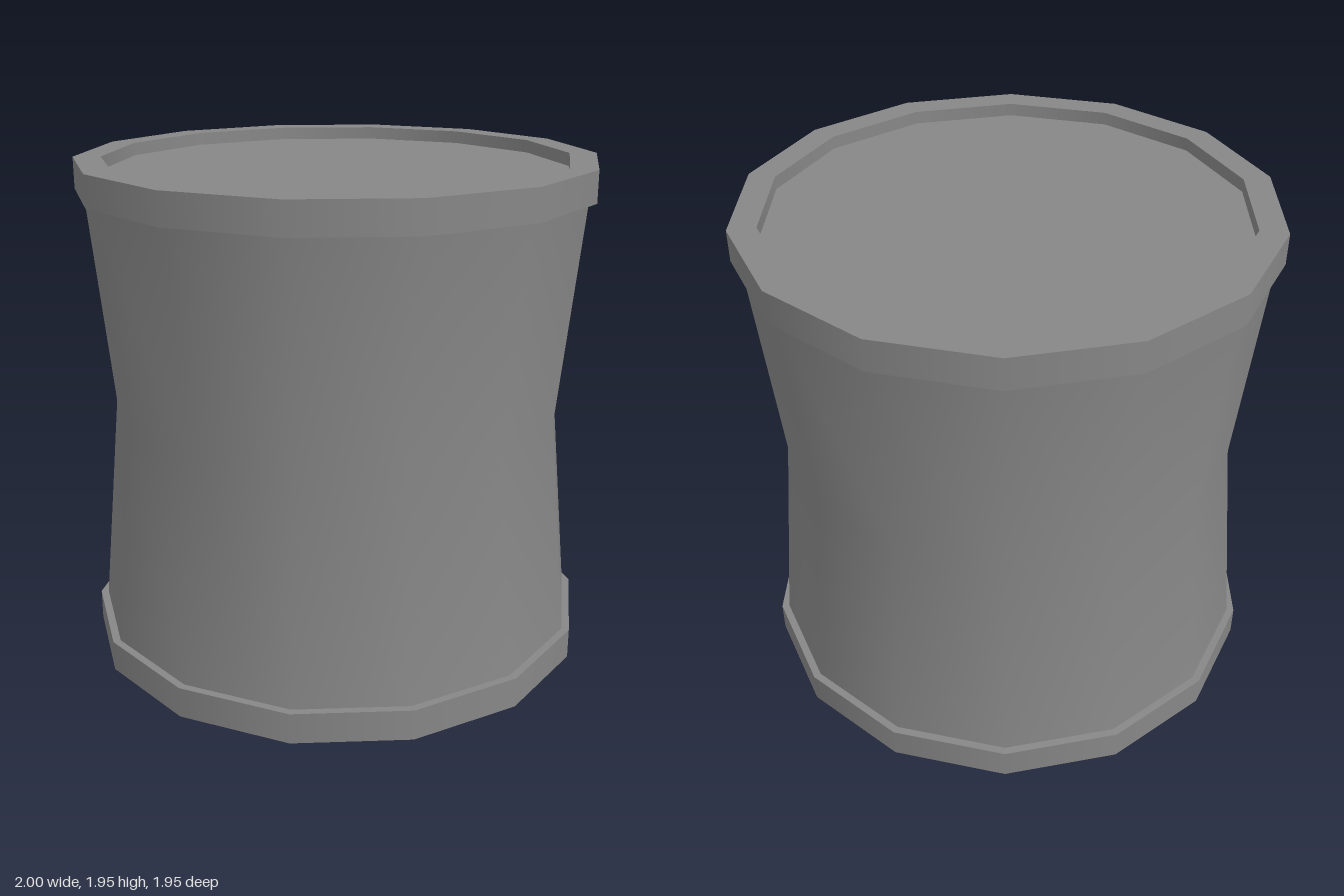
import * as THREE from 'three';
import { mergeGeometries } from 'three/addons/utils/BufferGeometryUtils.js';

const SIDES = 14;

// Revolves each profile on its own, so the edges between profiles stay sharp.
function turned(name, profiles, material) {
  const bands = profiles.map((profile) => new THREE.LatheGeometry(
    profile.map(([r, y]) => new THREE.Vector2(r, y)), SIDES, Math.PI / 2));
  const geometry = mergeGeometries(bands);
  geometry.normalizeNormals(); // even shading from edge to edge of each band
  const mesh = new THREE.Mesh(geometry, material);
  mesh.name = name;
  return mesh;
}

// Consecutive points become separate hard-edged bands.
const hardEdged = (points) => points.slice(1).map((p, i) => [points[i], p]);

export function createModel() {
  const material = new THREE.MeshStandardMaterial({ color: 0x878787 });
  const height = 1.945, rim = 0.12, outer = 1, end = 0.97, waist = 0.887;
  const inner = 0.895, floor = height - 0.05;

  const group = new THREE.Group();
  group.name = 'drum';
  group.add(
    // Closed base with its projecting rim
    turned('lowerRim', hardEdged([[0, 0], [outer, 0], [outer, rim], [end, rim]]), material),
    // Smooth shell narrowing to the waist
    turned('body', [[[end, rim], [waist, height / 2], [end, height - rim]]], material),
    // Projecting rim with a raised lip
    turned('upperRim', hardEdged([
      [end, height - rim], [outer, height - rim], [outer, height], [inner, height], [inner, floor],
    ]), material),
    // Recessed flat top
    turned('topPanel', [[[inner, floor], [0, floor]]], material),
  );
  return group;
}
